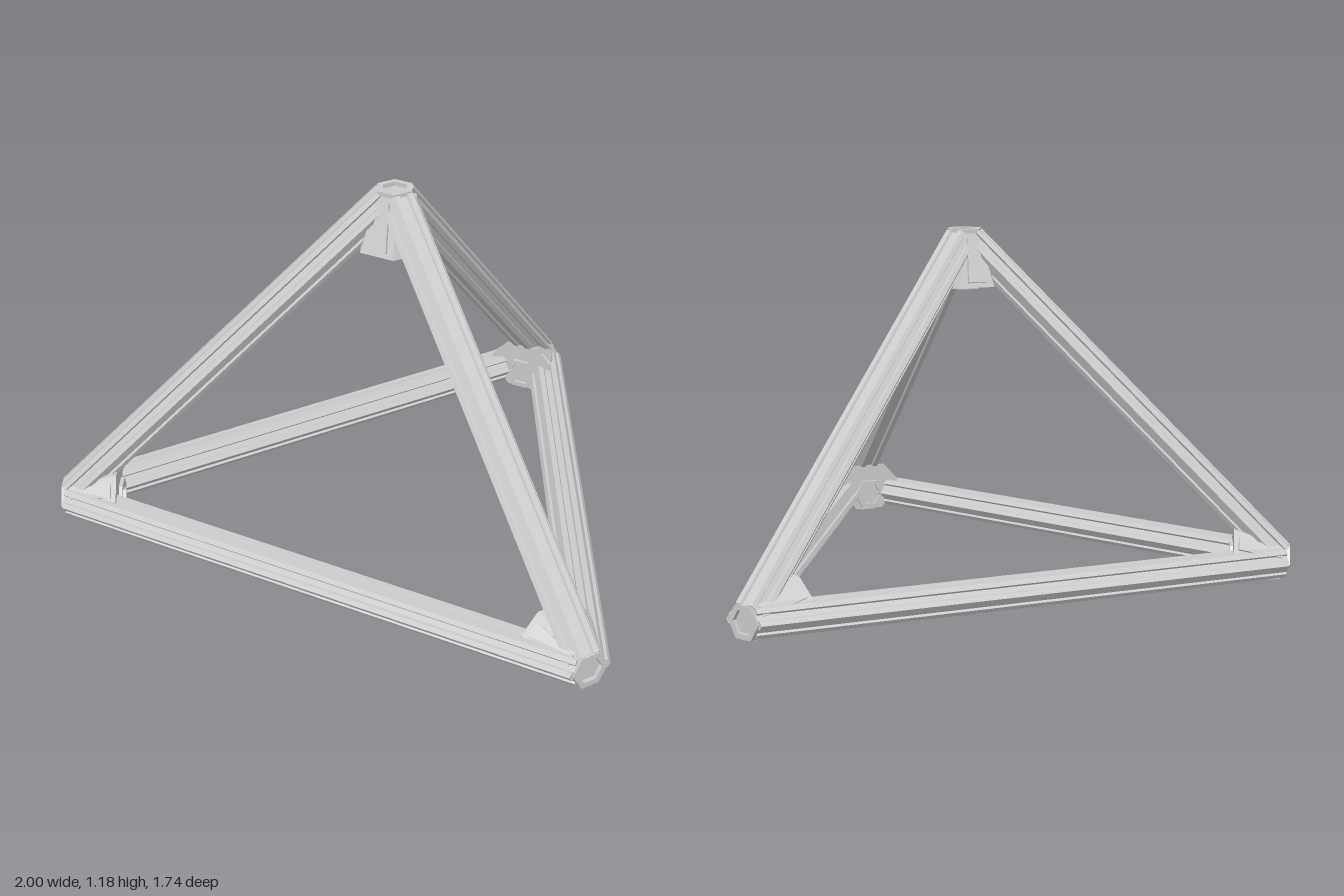
import * as THREE from 'three';
import { ConvexGeometry } from 'three/addons/geometries/ConvexGeometry.js';

const ORIGIN = new THREE.Vector3(0, 0.065, 0.25); // centre of the base triangle
const REACH = 1.115;                              // distance from it to every end cap
const CAP_R = 0.062;
const UP = new THREE.Vector3(0, 1, 0);
const material = new THREE.MeshStandardMaterial({ color: 0xcccccc, flatShading: true });

const rad = THREE.MathUtils.degToRad;
const polar = (r, deg) => new THREE.Vector2(r * Math.cos(rad(deg)), r * Math.sin(rad(deg)));
const hexagon = r => [0, 60, 120, 180, 240, 300].map(a => polar(r, a));
const along = (d, s) => ORIGIN.clone().addScaledVector(d, s);

function addMesh(parent, geometry, name) {
  const mesh = new THREE.Mesh(geometry, material);
  mesh.name = name;
  parent.add(mesh);
  return mesh;
}

// Hexagonal beam section with a shallow groove along each of its six sides
function beamShape() {
  const corners = hexagon(0.064).map(p => new THREE.Vector2(p.x, p.y * 0.86));
  const pts = [];
  corners.forEach((a, i) => {
    const b = corners[(i + 1) % 6];
    const inward = a.clone().add(b).normalize().multiplyScalar(-0.008);
    const at = (t, deep) => {
      const p = a.clone().lerp(b, t);
      return deep ? p.add(inward) : p;
    };
    pts.push(a, at(0.28), at(0.34, true), at(0.66, true), at(0.72));
  });
  return new THREE.Shape(pts);
}

// Beam between two corner directions, mitred to the planes of the end caps
function addBeam(parent, dA, dB, reach, flatDir, name) {
  const A = along(dA, reach), B = along(dB, reach);
  const z = B.clone().sub(A).normalize();
  const y = flatDir.clone().normalize();
  const x = y.clone().cross(z);
  const length = A.distanceTo(B);
  const g = new THREE.ExtrudeGeometry(beamShape(), { depth: length, bevelEnabled: false });
  const pos = g.attributes.position;
  const p = new THREE.Vector3();
  const slide = (start, off, d, dir) => {
    const rel = start.clone().add(off).sub(ORIGIN);
    return Math.max(0.03, (REACH - 0.004 - rel.dot(d)) / dir.dot(d));
  };
  for (let i = 0; i < pos.count; i++) {
    const off = new THREE.Vector3().addScaledVector(x, pos.getX(i)).addScaledVector(y, pos.getY(i));
    const t = pos.getZ(i) < length / 2
      ? slide(A, off, dA, z)
      : length - slide(B, off, dB, z.clone().negate());
    p.copy(A).add(off).addScaledVector(z, t);
    pos.setXYZ(i, p.x, p.y, p.z);
  }
  g.computeVertexNormals();
  addMesh(parent, g, name);
}

// Corner connector: tapered body, hollow hexagonal cap, raised web panels, inner collar
function addConnector(parent, d, e2, panels, name) {
  const node = new THREE.Group();
  node.name = name;
  const e1 = e2.clone().cross(d);
  node.applyMatrix4(new THREE.Matrix4().makeBasis(e1, e2, d).setPosition(along(d, REACH)));
  parent.add(node);

  const DEPTH = 0.19;
  const capPoint = deg => {
    const q = polar(CAP_R, deg);
    return new THREE.Vector3(q.x, q.y, -0.014);
  };
  const body = [0, 60, 120, 180, 240, 300].map(capPoint);
  const plates = [];
  for (const { angle, edge, r, w } of panels) {
    const c = polar(r, angle), t = polar(w, angle + 90);
    const quad = [
      capPoint(edge - 30), capPoint(edge + 30),
      new THREE.Vector3(c.x + t.x, c.y + t.y, -DEPTH),
      new THREE.Vector3(c.x - t.x, c.y - t.y, -DEPTH),
    ];
    body.push(quad[2], quad[3]);
    plates.push(quad);
  }
  addMesh(node, new ConvexGeometry(body), 'connectorBody');

  for (const quad of plates) {
    const mid = quad.reduce((s, q) => s.add(q), new THREE.Vector3()).multiplyScalar(0.25);
    const n = quad[2].clone().sub(quad[0]).cross(quad[3].clone().sub(quad[1])).normalize();
    if (n.x * mid.x + n.y * mid.y < 0) n.negate();
    const side = quad[1].clone().sub(quad[0]).normalize();
    const inset = quad.map(q => {
      const v = q.clone().sub(mid);
      const across = side.clone().multiplyScalar(v.dot(side));
      return v.sub(across).multiplyScalar(0.82).addScaledVector(across, 0.55).add(mid);
    });
    const points = inset.flatMap(q =>
      [q.clone().addScaledVector(n, -0.012), q.clone().addScaledVector(n, 0.008)]);
    addMesh(node, new ConvexGeometry(points), 'webPanel');
  }

  const ring = (outer, inner, depth, z, label) => {
    const shape = new THREE.Shape(hexagon(outer));
    shape.holes.push(new THREE.Path(hexagon(inner)));
    const g = new THREE.ExtrudeGeometry(shape, { depth, bevelEnabled: false });
    addMesh(node, g, label).position.z = z;
  };
  ring(CAP_R, 0.042, 0.014, -0.014, 'capRing');
  ring(0.06, 0.042, 0.012, -DEPTH - 0.012, 'innerCollar');
}

export function createModel() {
  const model = new THREE.Group();
  model.name = 'pyramidFrame';
  const corners = [
    ['Left', 30], ['Right', 150], ['Back', 270],
  ].map(([label, deg]) => {
    const q = polar(1, deg);
    return { label, d: new THREE.Vector3(q.x, 0, q.y) };
  });

  // Base beams and sloping beams
  corners.forEach(({ label, d }, i) => {
    const next = corners[(i + 1) % 3];
    addBeam(model, d, next.d, 1.112, UP, `baseBeam${label}To${next.label}`);
    addBeam(model, UP, d, 1.1, d.clone().add(UP), `slopingBeam${label}`);
  });

  // Apex connector
  addConnector(model, UP, new THREE.Vector3(0, 0, -1),
    [30, 150, 270].map(a => ({ angle: a, edge: a, r: 0.115, w: 0.06 })), 'apexConnector');

  // Base connectors, each with two upper webs and a flat foot
  for (const { label, d } of corners) {
    addConnector(model, d, UP, [
      { angle: 42, edge: 30, r: 0.122, w: 0.045 },
      { angle: 138, edge: 150, r: 0.122, w: 0.045 },
      { angle: 270, edge: 270, r: 0.058, w: 0.055 },
    ], `baseConnector${label}`);
  }
  return model;
}
